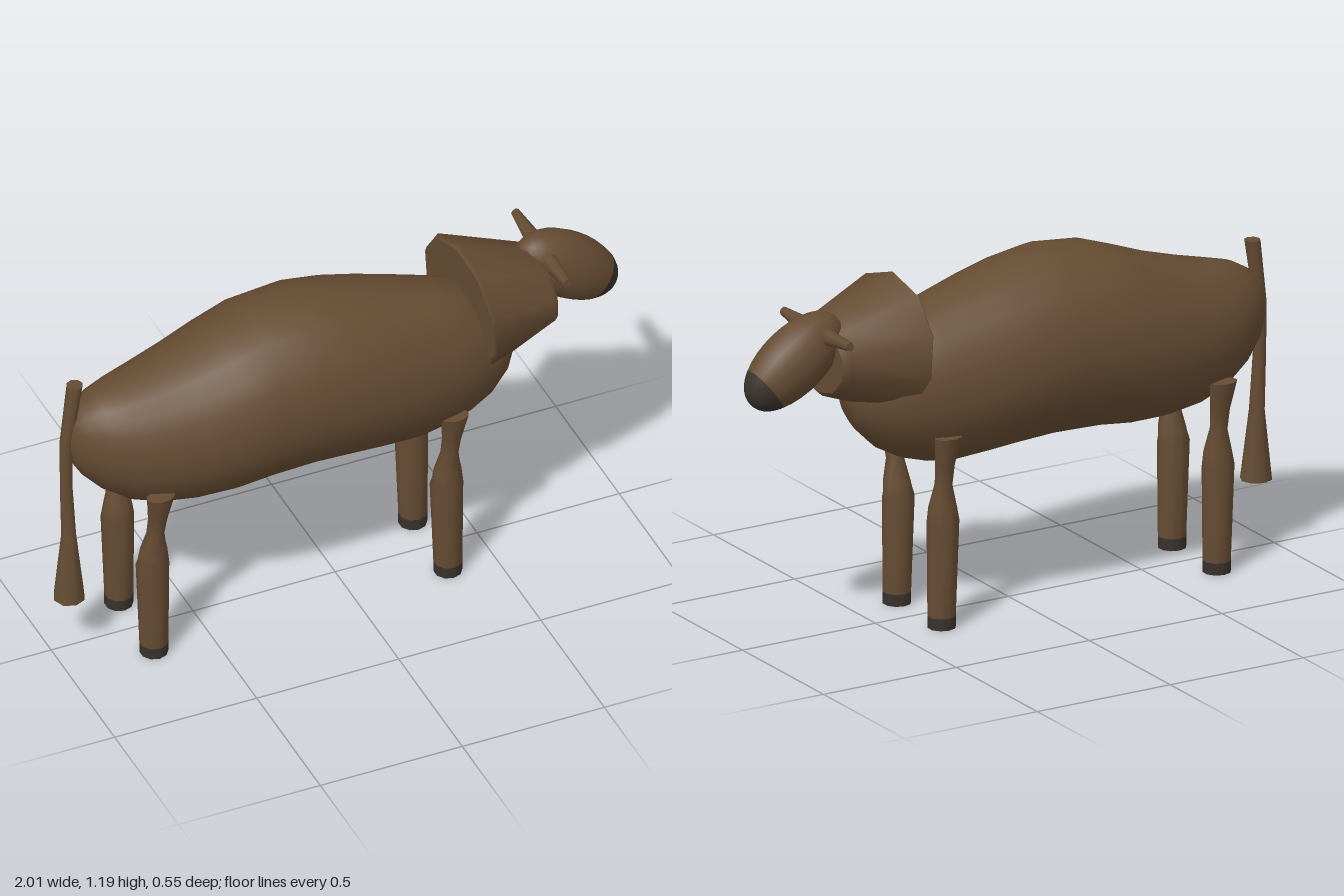
import * as THREE from 'three';

const hide = new THREE.MeshStandardMaterial({ color: 0x664c33 });
hide.name = 'brown hide';
const horn = new THREE.MeshStandardMaterial({ color: 0x38322c });
horn.name = 'dark hoof';

const V = (x, y, z) => new THREE.Vector3(x, y, z);
// A ring is a centre with two half axes; u x v points along the loft.
const ring = (c, u, v) => ({ c, u, v });
const upright = (x, y, z, rx, rz = rx) => ring(V(x, y, z), V(0, 0, rz), V(rx, 0, 0));

// Skin with smooth sides through a row of rings, flat caps at both ends.
function loft(rings, sides, twist = () => 0) {
  const pos = [], idx = [];
  const point = (r, j, k) => {
    const a = (j / sides) * Math.PI * 2 + twist(k);
    const p = r.c.clone().addScaledVector(r.u, Math.cos(a)).addScaledVector(r.v, Math.sin(a));
    pos.push(p.x, p.y, p.z);
  };
  rings.forEach((r, k) => { for (let j = 0; j < sides; j++) point(r, j, k); });
  for (let k = 0; k < rings.length - 1; k++) {
    for (let j = 0; j < sides; j++) {
      const n = (j + 1) % sides, a = k * sides, b = a + sides;
      idx.push(a + j, a + n, b + n, a + j, b + n, b + j);
    }
  }
  for (const k of [0, rings.length - 1]) {
    const base = pos.length / 3;
    for (let j = 0; j < sides; j++) point(rings[k], j, k);
    for (let j = 1; j < sides - 1; j++) {
      if (k) idx.push(base, base + j, base + j + 1);
      else idx.push(base, base + j + 1, base + j);
    }
  }
  const g = new THREE.BufferGeometry();
  g.setAttribute('position', new THREE.Float32BufferAttribute(pos, 3));
  g.setIndex(idx);
  g.computeVertexNormals();
  return g;
}

export function createModel() {
  const model = new THREE.Group();
  model.name = 'animal';
  const add = (name, geometry, material, parent = model) => {
    const m = new THREE.Mesh(geometry, material);
    m.name = name;
    parent.add(m);
    return m;
  };

  // Body: x, top, bottom, half width
  const bodyProfile = [
    [-0.945, 0.84, 0.81, 0.012], [-0.93, 0.91, 0.745, 0.06], [-0.9, 0.955, 0.695, 0.1],
    [-0.84, 0.99, 0.63, 0.145], [-0.76, 1.01, 0.575, 0.185], [-0.66, 1.035, 0.54, 0.215],
    [-0.54, 1.07, 0.525, 0.243], [-0.42, 1.115, 0.526, 0.264], [-0.3, 1.157, 0.54, 0.275],
    [-0.13, 1.175, 0.545, 0.275], [0, 1.155, 0.538, 0.27], [0.12, 1.125, 0.528, 0.257],
    [0.24, 1.09, 0.52, 0.238], [0.34, 1.06, 0.532, 0.216], [0.42, 1.035, 0.556, 0.194],
    [0.5, 0.985, 0.6, 0.165], [0.56, 0.93, 0.66, 0.125], [0.595, 0.88, 0.71, 0.075], [0.61, 0.81, 0.78, 0.015],
  ];
  add('body', loft(bodyProfile.map(([x, t, b, w]) =>
    ring(V(x, (t + b) / 2, 0), V(0, (t - b) / 2, 0), V(0, 0, w))), 24), hide);

  // Neck: tapered collar-like block, its wide rear end slightly turned
  const neckRing = (x, y, z, ry, rz, lean) => ring(V(x, y, z), V(-lean * 0.5, ry, 0), V(lean, 0, rz));
  add('neck', loft([
    neckRing(0.44, 0.955, -0.003, 0.22, 0.222, 0.025),
    neckRing(0.45, 0.955, -0.003, 0.233, 0.235, 0.025),
    neckRing(0.7, 0.945, -0.008, 0.13, 0.165, 0.008),
    neckRing(0.72, 0.945, -0.008, 0.115, 0.15, 0.004),
  ], 10), hide);

  // Head: long egg tilted down, with a dark muzzle
  const head = new THREE.Group();
  head.name = 'head';
  head.position.set(0.83, 0.965, -0.036);
  head.rotation.z = -0.63;
  model.add(head);
  const headRing = (a) => {
    const s = Math.max(Math.pow(Math.sin(a), 0.9), 0.01);
    return ring(V(-0.2 * Math.cos(a), 0, 0), V(0, 0.112 * s, 0), V(0, 0, 0.096 * s));
  };
  const egg = (from, to, steps) => loft(Array.from({ length: steps + 1 },
    (_, i) => headRing(from + ((to - from) * i) / steps)), 20);
  const split = 2.3;
  add('skull', egg(0, split, 12), hide, head);
  add('muzzle', egg(split, Math.PI, 6), horn, head);

  // Ears
  for (const s of [1, -1]) {
    const ear = add(s > 0 ? 'leftEar' : 'rightEar', new THREE.CylinderGeometry(0.015, 0.03, 0.15, 8), hide);
    ear.position.set(0.742, 1.053, -0.036 + s * 0.13);
    ear.rotation.x = s * (Math.PI / 2 - 0.06);
  }

  // Legs: straight shank, twisted narrow knee, flared top
  for (const [end, x] of [['front', 0.335], ['rear', -0.7]]) {
    for (const s of [1, -1]) {
      const leg = new THREE.Group();
      leg.name = `${end}${s > 0 ? 'Left' : 'Right'}Leg`;
      model.add(leg);
      const z = s * 0.138;
      add('hoof', loft([upright(x, 0, z, 0.047), upright(x, 0.04, z, 0.047)], 10), horn, leg);
      add('shank', loft([
        upright(x, 0.04, z, 0.047),
        upright(x - 0.005, 0.36, z, 0.055, 0.051),
        upright(x - 0.002, 0.41, s * 0.141, 0.047, 0.044),
        upright(x, 0.49, s * 0.15, 0.029, 0.03),
        upright(x + 0.003, 0.56, s * 0.163, 0.033, 0.03),
        upright(x + 0.003, 0.66, s * 0.185, 0.049, 0.032),
      ], 10, (k) => s * Math.max(0, k - 1) * 0.25), hide, leg);
    }
  }

  // Tail with a flared tip
  add('tail', loft([
    upright(-0.948, 0.22, 0.026, 0.053), upright(-0.946, 0.46, 0.018, 0.026),
    upright(-0.952, 0.65, 0.012, 0.022), upright(-0.95, 0.83, 0.005, 0.022),
    upright(-0.915, 1.05, -0.005, 0.027),
  ], 8), hide);

  return model;
}
